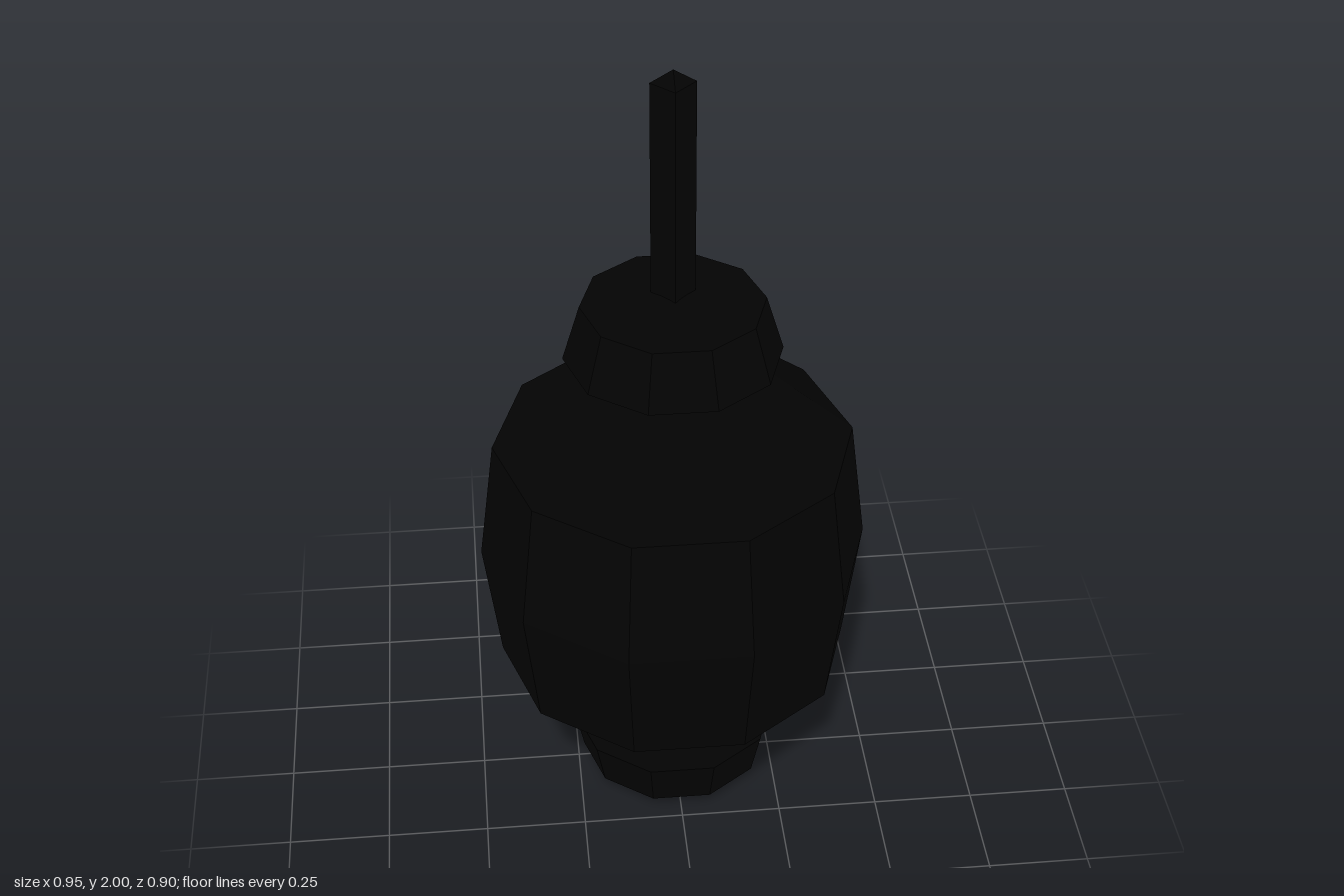
import * as THREE from 'three';

// Faceted solid of revolution; a corner always lies on the +x axis.
// Profiles run [radius, y] from the bottom axis point, outward, and back to the axis.
function turned(name, profile, sides, material) {
  const points = profile.map(([r, y]) => new THREE.Vector2(r, y));
  const mesh = new THREE.Mesh(new THREE.LatheGeometry(points, sides, Math.PI / 2), material);
  mesh.name = name;
  return mesh;
}

export function createModel() {
  const model = new THREE.Group();
  model.name = 'lantern';
  const black = new THREE.MeshStandardMaterial({ color: 0x030303, flatShading: true });

  // Ten-sided barrel body
  model.add(turned('body', [
    [0, 0.11], [0.23, 0.215], [0.435, 0.39], [0.475, 0.705],
    [0.435, 1.02], [0.23, 1.195], [0, 1.3],
  ], 10, black));

  // End caps, each hollowed on the side facing the body
  model.add(turned('bottomCap', [[0, 0], [0.235, 0.04], [0.26, 0.157], [0, 0.1]], 10, black));
  model.add(turned('topCap', [[0, 1.32], [0.26, 1.265], [0.218, 1.405], [0, 1.445]], 10, black));

  // Square hanging rod with a pointed tip
  model.add(turned('hangingRod', [[0, 1.36], [0.052, 1.36], [0.052, 1.97], [0, 2]], 4, black));

  return model;
}
